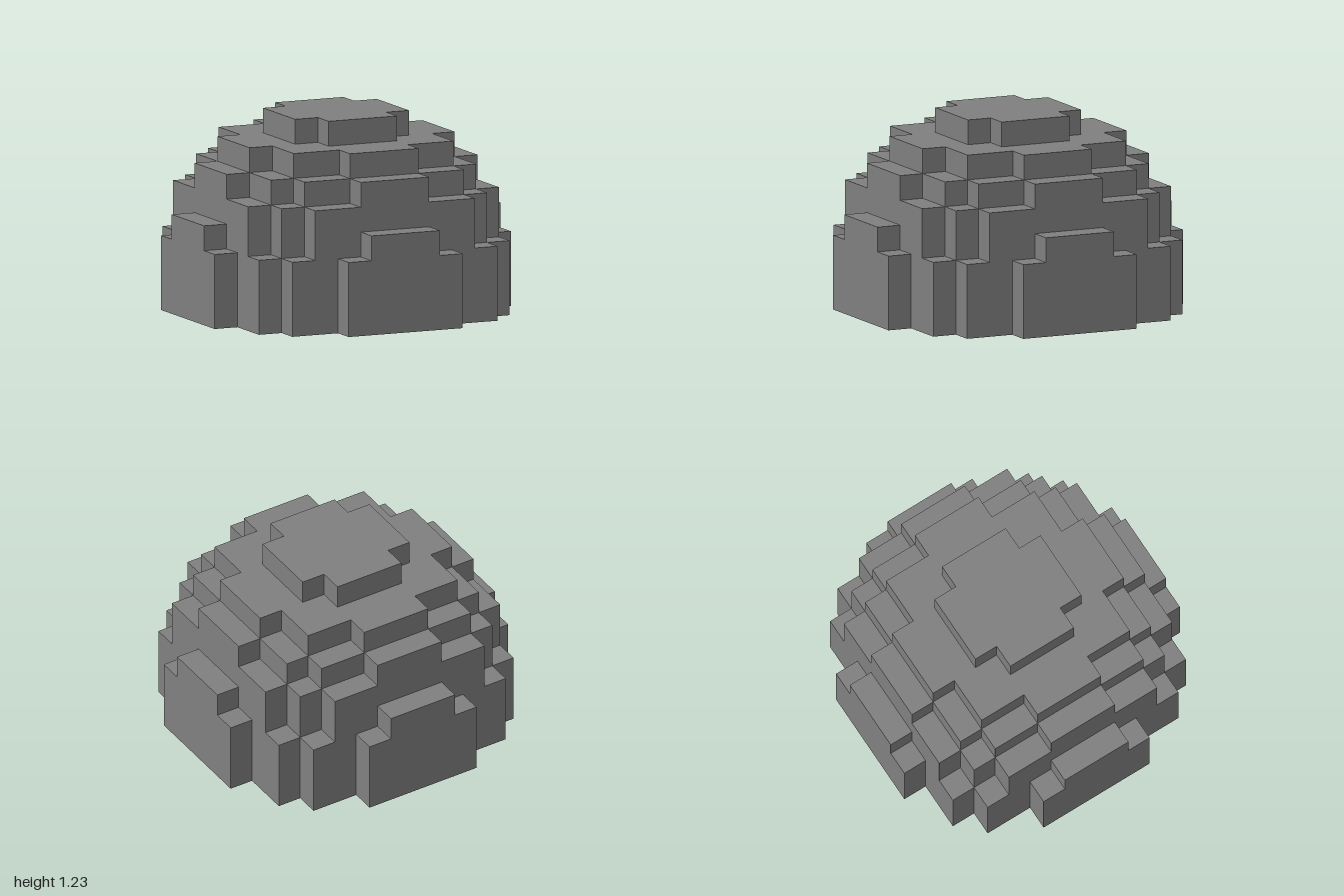
import * as THREE from 'three';
import { mergeGeometries } from 'three/addons/utils/BufferGeometryUtils.js';

const UNIT = 2 / 13;        // edge of one block
const BOTTOM = -1, TOP = 6; // block layers, counted from the sphere's centre
const REACH = 6;            // blocks from the centre to the outermost one

// A block belongs to the dome when its centre lies inside the sphere.
const filled = (x, y, z) => y >= BOTTOM && x * x + y * y + z * z < 43.5;

// The six sides of a block: outward direction and a matching unit square.
const sides = [
  [0, 0, 1, 0, 0], [0, 0, -1, 0, Math.PI],
  [1, 0, 0, 0, Math.PI / 2], [-1, 0, 0, 0, -Math.PI / 2],
  [0, 1, 0, -Math.PI / 2, 0], [0, -1, 0, Math.PI / 2, 0],
].map(([x, y, z, rx, ry]) => ({
  dir: [x, y, z],
  square: new THREE.PlaneGeometry(UNIT, UNIT)
    .translate(0, 0, UNIT / 2).rotateX(rx).rotateY(ry),
}));

// Exposed faces of all blocks in one horizontal layer.
function layerGeometry(y) {
  const faces = [];
  for (let x = -REACH; x <= REACH; x++) {
    for (let z = -REACH; z <= REACH; z++) {
      if (!filled(x, y, z)) continue;
      for (const { dir: [dx, dy, dz], square } of sides) {
        if (filled(x + dx, y + dy, z + dz)) continue;
        faces.push(square.clone().translate(
          x * UNIT, (y - BOTTOM + 0.5) * UNIT, z * UNIT));
      }
    }
  }
  return mergeGeometries(faces);
}

export function createModel() {
  const stone = new THREE.MeshStandardMaterial({ color: 0x808080 });
  stone.name = 'stone grey';

  const dome = new THREE.Group();
  dome.name = 'blockDome';
  for (let y = BOTTOM; y <= TOP; y++) {
    const layer = new THREE.Mesh(layerGeometry(y), stone);
    layer.name = y === BOTTOM ? 'baseLayer' : y === TOP ? 'capLayer' : `domeLayer${y - BOTTOM}`;
    dome.add(layer);
  }
  return dome;
}
